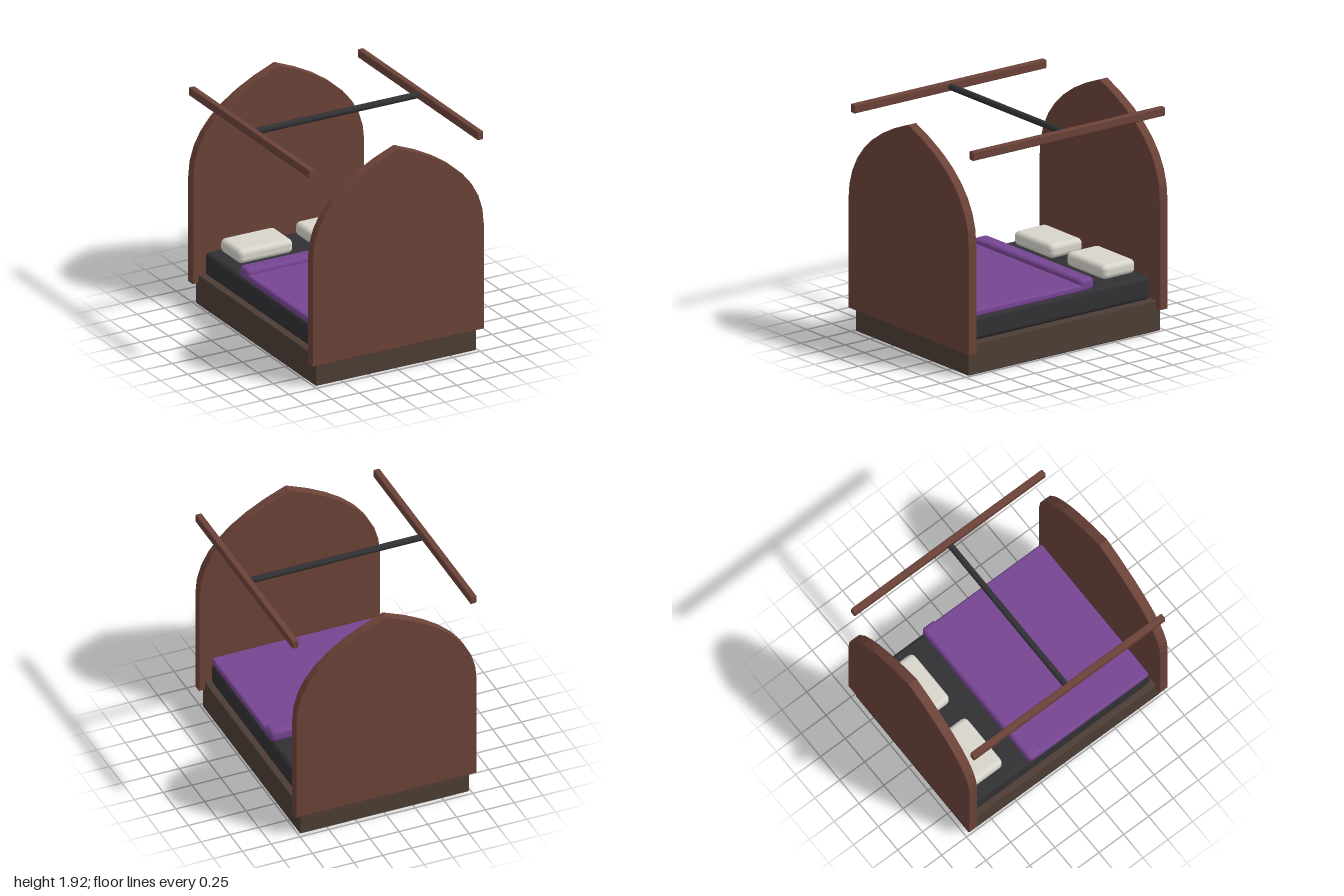
import * as THREE from 'three';
import { RoundedBoxGeometry } from 'three/addons/geometries/RoundedBoxGeometry.js';

const paint = (color) => new THREE.MeshStandardMaterial({ color });

export function createModel() {
  const model = new THREE.Group();
  const wood = paint(0x6b4238);
  const darkWood = paint(0x4c3d35);
  const black = paint(0x313134);
  const purple = paint(0x764592);
  const cream = paint(0xd8d5cc);

  const add = (name, geometry, material, x, y, z) => {
    const mesh = new THREE.Mesh(geometry, material);
    mesh.name = name;
    mesh.position.set(x, y, z);
    model.add(mesh);
    return mesh;
  };

  // Rounded box given by its min and max corners
  const block = (name, material, [x0, y0, z0], [x1, y1, z1], radius, segments = 3) =>
    add(name, new RoundedBoxGeometry(x1 - x0, y1 - y0, z1 - z0, segments, radius), material,
      (x0 + x1) / 2, (y0 + y1) / 2, (z0 + z1) / 2);

  // Base and bedding
  block('base', darkWood, [-0.735, 0, -0.965], [0.735, 0.26, 0.965], 0.01, 2);
  block('mattress', black, [-0.695, 0.26, -0.9], [0.695, 0.462, 0.9], 0.04);
  block('blanket', purple, [-0.7, 0.46, -0.3], [0.7, 0.522, 0.88], 0.022);
  block('blanketFold', purple, [-0.703, 0.46, -0.33], [0.703, 0.565, -0.187], 0.035);
  for (const [name, x] of [['leftPillow', 0.34], ['rightPillow', -0.345]]) {
    block(name, cream, [x - 0.25, 0.465, -0.835], [x + 0.25, 0.587, -0.505], 0.045);
  }

  // Pointed-arch end panels
  const bevel = 0.004;
  const w = 0.785 - bevel;
  const bottom = 0.19 + bevel;
  const top = 1.92 - bevel;
  const arch = new THREE.Shape();
  arch.moveTo(-w, bottom);
  arch.lineTo(w, bottom);
  arch.lineTo(w, 1.1);
  arch.quadraticCurveTo(w, 1.63, 0, top);
  arch.quadraticCurveTo(-w, 1.63, -w, 1.1);
  arch.lineTo(-w, bottom);
  const panel = new THREE.ExtrudeGeometry(arch, {
    depth: 0.08 - 2 * bevel, curveSegments: 8,
    bevelEnabled: true, bevelSize: bevel, bevelThickness: bevel, bevelSegments: 1,
  });
  add('footPanel', panel, wood, 0, 0, 0.92 + bevel);
  add('headPanel', panel, wood, 0, 0, -1 + bevel);

  // Canopy rails and the bar across them
  for (const [name, x] of [['leftRail', 0.773], ['rightRail', -0.773]]) {
    block(name, wood, [x - 0.027, 1.812, -0.965], [x + 0.027, 1.885, 0.965], 0.01, 2);
  }
  const bar = add('crossBar', new THREE.CylinderGeometry(0.027, 0.027, 1.52, 12), black, 0, 1.848, 0);
  bar.rotation.z = Math.PI / 2;

  return model;
}
